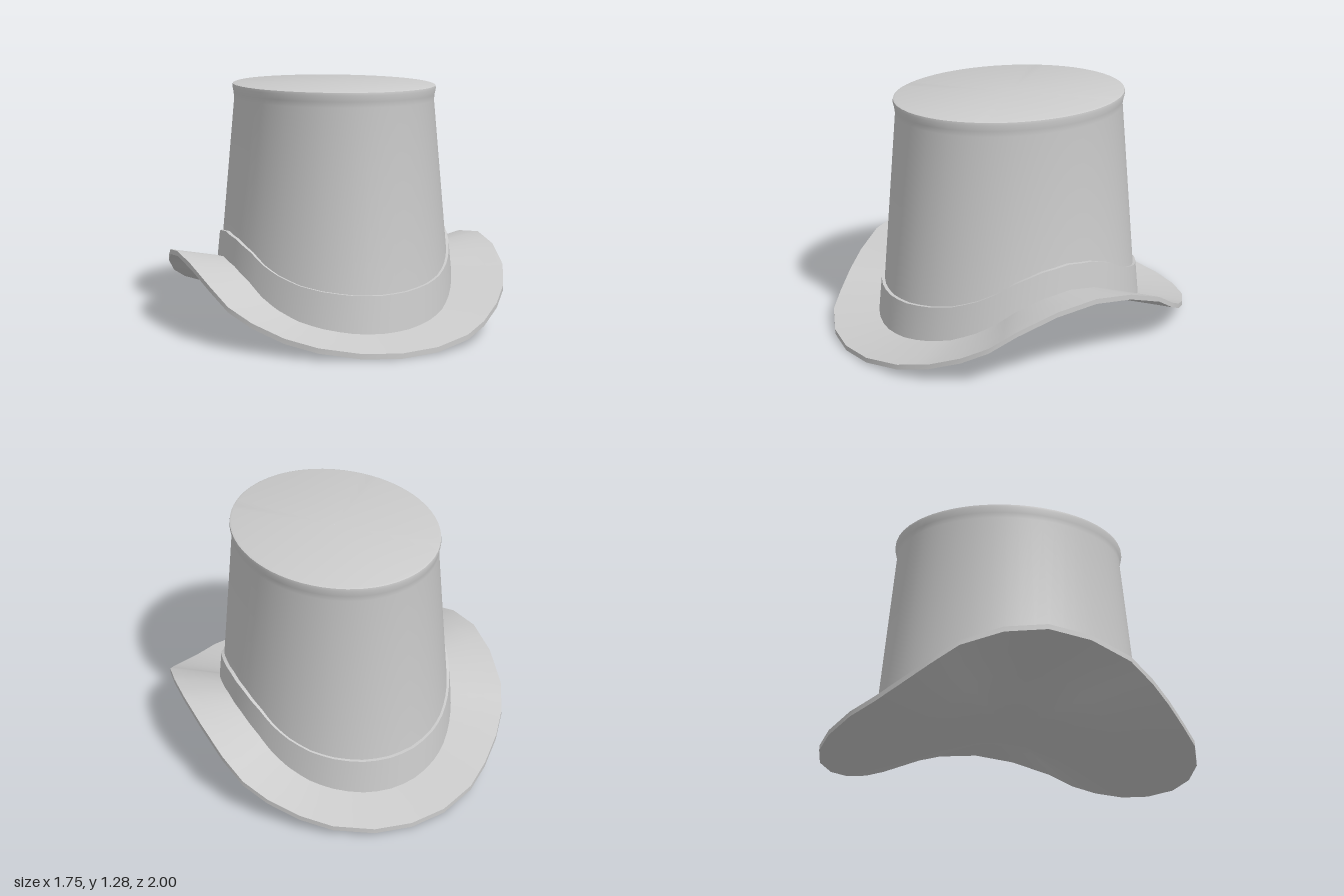
import * as THREE from 'three';
import { toCreasedNormals } from 'three/addons/utils/BufferGeometryUtils.js';

const material = new THREE.MeshStandardMaterial({ color: 0xcccccc });

// One quarter of the brim edge (underside), from the front centre to the left side.
const quarter = [
  [0, 0, 1], [0.2, 0.008, 0.975], [0.4, 0.035, 0.895], [0.54, 0.07, 0.79], [0.67, 0.13, 0.67],
  [0.76, 0.195, 0.56], [0.82, 0.28, 0.43], [0.86, 0.355, 0.22], [0.875, 0.385, 0],
].map((p) => new THREE.Vector3(...p));

// Mirror the quarter into a closed loop, running front, left, back, right.
function makeRim() {
  const flip = (list, sx, sz) => list.map((p) => new THREE.Vector3(p.x * sx, p.y, p.z * sz));
  const reversed = [...quarter].reverse();
  const corners = [
    ...quarter.slice(0, -1),
    ...flip(reversed, 1, -1).slice(0, -1),
    ...flip(quarter, -1, -1).slice(0, -1),
    ...flip(reversed, -1, 1).slice(0, -1),
  ];
  return corners.flatMap((p, i) => [p, p.clone().lerp(corners[(i + 1) % corners.length], 0.5)]);
}

// Skin closed rings, ordered so that the outside faces out.
function loft(name, rings, crease) {
  const n = rings[0].length;
  const index = [];
  for (let j = 0; j < rings.length - 1; j++) {
    for (let i = 0; i < n; i++) {
      const a = j * n + i, b = j * n + (i + 1) % n;
      index.push(a, b, b + n, a, b + n, a + n);
    }
  }
  const geometry = new THREE.BufferGeometry().setFromPoints(rings.flat());
  geometry.setIndex(index);
  const mesh = new THREE.Mesh(toCreasedNormals(geometry, crease), material);
  mesh.name = name;
  return mesh;
}

export function createModel() {
  const group = new THREE.Group();
  group.name = 'topHat';
  const rim = makeRim();
  const thickness = 0.027, centreY = 0.19;

  // Brim height: level in the middle, then spreading to the curled edge.
  const spread = (s) => (s < 0.17 ? 0 : s < 0.6 ? (s - 0.17) / 0.43 * 0.68 : 0.68 + (s - 0.6) / 0.4 * 0.32);
  const brimPoint = (p, s, lift = 0) =>
    new THREE.Vector3(p.x * s, centreY + (p.y - centreY) * spread(s) + lift, p.z * s);
  const brimRing = (s, lift) => rim.map((p) => brimPoint(p, s, lift));

  // Point on an ellipse in the direction of a rim point.
  const reach = (p, rx, rz) => 1 / Math.hypot(p.x / rx, p.z / rz);
  const onEllipse = (p, rx, rz, y) => {
    const s = reach(p, rx, rz);
    return new THREE.Vector3(p.x * s, y, p.z * s);
  };
  const ellipse = (rx, rz, y) => rim.map((p) => onEllipse(p, rx, rz, y));

  // Brim, from the middle of the underside round the edge and in to the band
  group.add(loft('brim', [
    ...[0.001, 0.17, 0.38, 0.6, 0.8, 1].map((s) => brimRing(s, 0)),
    ...[1, 0.9, 0.8, 0.6].map((s) => brimRing(s, thickness)),
  ], 0.7));

  // Band, following the curve of the brim
  const bandTop = (p) => 0.258 + 0.245 * p.y / 0.385;
  const bandFoot = rim.map((p) => brimPoint(p, reach(p, 0.625, 0.75), thickness - 0.006));
  const bandEdge = rim.map((p) => onEllipse(p, 0.61, 0.73, bandTop(p)));
  const bandInner = rim.map((p) => onEllipse(p, 0.585, 0.7, bandTop(p)));
  group.add(loft('band', [bandFoot, bandEdge, bandInner], 0.6));

  // Crown, tapering upwards to a small flared lip and a flat top
  const crownFoot = rim.map((p) => {
    const y = bandTop(p) - 0.05;
    return onEllipse(p, 0.525 + (1.2 - y) * 0.093, 0.63 + (1.2 - y) * 0.086, y);
  });
  group.add(loft('crown', [
    crownFoot,
    ellipse(0.525, 0.63, 1.2),
    ellipse(0.528, 0.634, 1.23),
    ellipse(0.534, 0.642, 1.262),
    ellipse(0.532, 0.64, 1.276),
    ellipse(0.522, 0.63, 1.28),
    ellipse(0.001, 0.001, 1.28),
  ], 0.5));

  return group;
}
